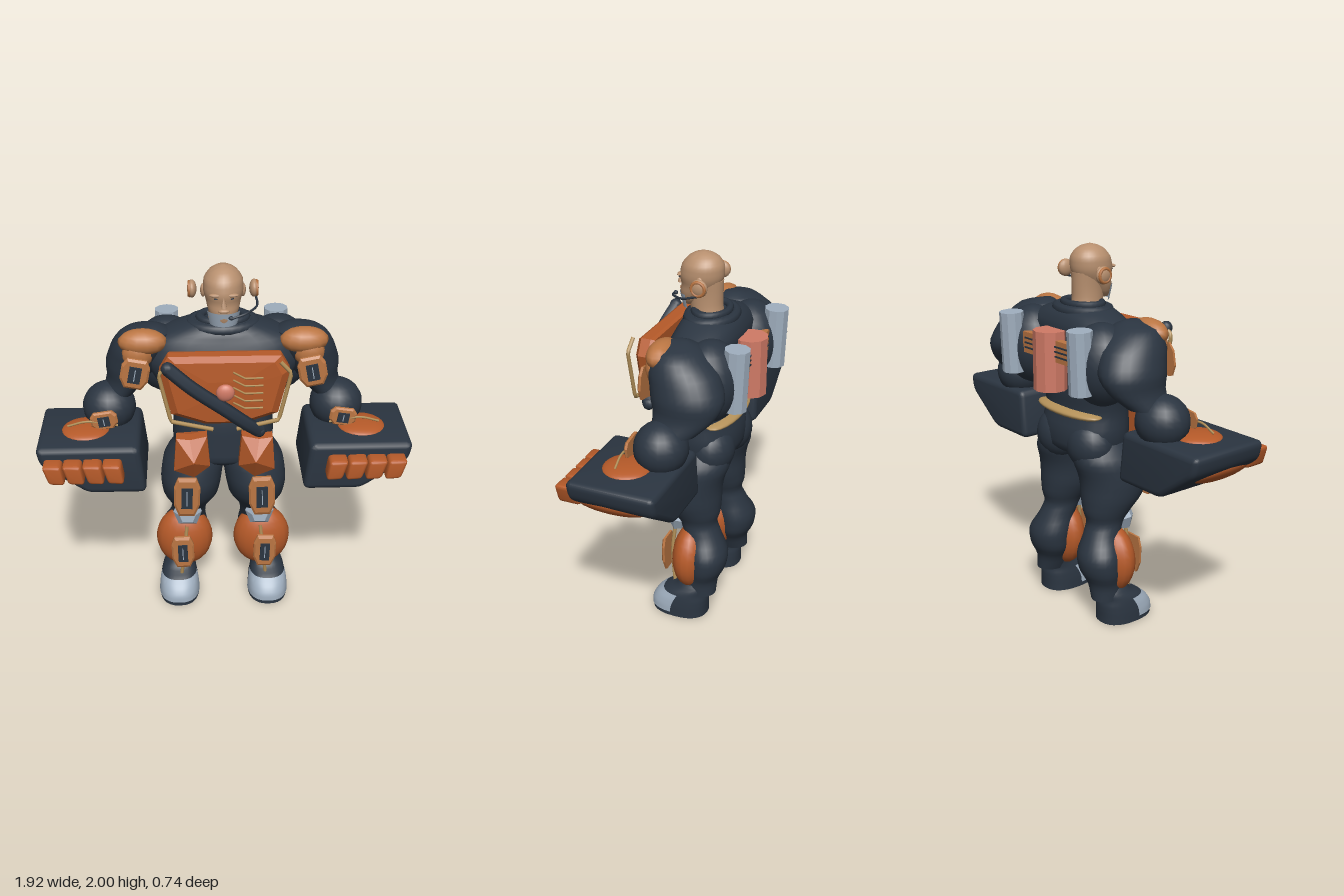
import * as THREE from 'three';
import { toCreasedNormals } from 'three/addons/utils/BufferGeometryUtils.js';

const paint = (name, color, extra = {}) => Object.assign(new THREE.MeshStandardMaterial({ color, ...extra }), { name });

export function createModel() {
  const suit = paint('navy suit', 0x2b3541);
  const orange = paint('orange armour', 0xb65a29);
  const copper = paint('copper trim', 0xbb7643);
  const skin = paint('skin', 0xb8906f);
  const grey = paint('light grey', 0xa0afbf, { side: THREE.DoubleSide });
  const salmon = paint('salmon', 0xd07a66);
  const tan = paint('tan cord', 0xb5925a);

  const model = new THREE.Group();
  const add = (name, geo, mat, x = 0, y = 0, z = 0) => {
    const m = new THREE.Mesh(geo, mat);
    m.name = name;
    m.position.set(x, y, z);
    model.add(m);
    return m;
  };
  const ball = (name, mat, x, y, z, rx, ry, rz, n = 20) =>
    add(name, new THREE.SphereGeometry(1, n, Math.ceil(n * 0.7)).scale(rx, ry, rz), mat, x, y, z);
  const cord = (name, mat, pts, r, smooth = true) => add(name, new THREE.TubeGeometry(
    new THREE.CatmullRomCurve3(pts.map(p => new THREE.Vector3(...p)), false, 'catmullrom', smooth ? 0.5 : 0.02), 24, r, 6), mat);
  const flip = (pts, s) => s > 0 ? pts : pts.map(([x, y]) => [-x, y]).reverse();
  const flat = geo => toCreasedNormals(geo, 0.35);

  // Smooth body form through horizontal sections [y, x, z, rx, rz], bottom to top; arc < 2*PI leaves an open shell
  function loft(secs, s = 1, pow = 2, arc = Math.PI * 2) {
    const centre = new THREE.CatmullRomCurve3(secs.map(q => new THREE.Vector3(q[1] * s, q[0], q[2])));
    const size = new THREE.CatmullRomCurve3(secs.map(q => new THREE.Vector3(q[3], 0, q[4])));
    const N = 28, rows = (secs.length - 1) * 3, closed = arc > 6.2, W = closed ? N : N + 1;
    const pos = [], idx = [];
    for (let j = 0; j <= rows; j++) {
      const c = centre.getPoint(j / rows), r = size.getPoint(j / rows);
      for (let i = 0; i < W; i++) {
        const a = (i / N - 0.5) * arc, sx = Math.sin(a), cz = Math.cos(a);
        pos.push(c.x + r.x * Math.sign(sx) * Math.abs(sx) ** (2 / pow), c.y,
          c.z + r.z * Math.sign(cz) * Math.abs(cz) ** (2 / pow));
      }
    }
    for (let j = 0; j < rows; j++) for (let i = 0; i < N; i++) {
      const a = j * W + i, b = j * W + (i + 1) % W;
      idx.push(a, b, b + W, a, b + W, a + W);
    }
    if (closed) for (const [j, up] of [[0, false], [rows, true]]) {
      const c = centre.getPoint(j / rows), k = pos.length / 3;
      pos.push(c.x, c.y, c.z);
      for (let i = 0; i < N; i++) {
        const a = j * W + i, b = j * W + (i + 1) % N;
        idx.push(...(up ? [a, b, k] : [b, a, k]));
      }
    }
    const g = new THREE.BufferGeometry();
    g.setAttribute('position', new THREE.Float32BufferAttribute(pos, 3));
    g.setIndex(idx);
    return toCreasedNormals(g, 0.9);
  }

  // Faceted armour: one outline repeated in layers [scale, z], back to front
  function facet(pts, layers) {
    const n = pts.length, pos = [], idx = [];
    for (const [k, z] of layers) for (const [x, y] of pts) pos.push(x * k, y * k, z);
    for (let j = 0; j < layers.length - 1; j++) for (let i = 0; i < n; i++) {
      const a = j * n + i, b = j * n + (i + 1) % n;
      idx.push(a, b, b + n, a, b + n, a + n);
    }
    const top = (layers.length - 1) * n;
    for (let i = 1; i < n - 1; i++) idx.push(0, i + 1, i, top, top + i, top + i + 1);
    const g = new THREE.BufferGeometry();
    g.setAttribute('position', new THREE.Float32BufferAttribute(pos, 3));
    g.setIndex(idx);
    const out = g.toNonIndexed();
    out.computeVertexNormals();
    return out;
  }

  // Slab from z0 to z1 with rounded corners and bevel b
  function slab(pts, z0, z1, b) {
    const v = pts.map(p => new THREE.Vector2(...p)), shape = new THREE.Shape();
    v.forEach((p, i) => {
      const toward = q => p.clone().add(q.clone().sub(p).setLength(b * 1.3));
      const from = toward(v[(i + v.length - 1) % v.length]), to = toward(v[(i + 1) % v.length]);
      if (i) shape.lineTo(from.x, from.y); else shape.moveTo(from.x, from.y);
      shape.quadraticCurveTo(p.x, p.y, to.x, to.y);
    });
    shape.closePath();
    const g = new THREE.ExtrudeGeometry(shape, { depth: z1 - z0 - 2 * b, bevelThickness: b, bevelSize: b, bevelOffset: -b, bevelSegments: 3, curveSegments: 4 });
    return toCreasedNormals(g.translate(0, 0, z0 + b), 0.6);
  }

  // Long hexagonal plate with a dark inset and a small light line
  function limbPlate(name, x, y, z, w, h, tilt = 0) {
    const hex = [[-w * .3, -h / 2], [w * .3, -h / 2], [w / 2, -h * .2], [w / 2, h * .25], [w * .35, h / 2], [-w * .35, h / 2], [-w / 2, h * .25], [-w / 2, -h * .2]];
    const plate = add(name, facet(hex, [[1, -.008], [1, .004], [.85, .013]]), copper, x, y, z);
    plate.rotation.z = tilt;
    const inset = new THREE.Mesh(new THREE.BoxGeometry(w * .43, h * .54, .009), suit);
    inset.name = name + 'Inset';
    inset.position.z = .016;
    const line = new THREE.Mesh(new THREE.BoxGeometry(.005, h * .38, .004), grey);
    line.name = name + 'Line';
    line.position.z = .0215;
    plate.add(inset, line);
  }

  // Torso and collar
  add('torso', loft([[.89, 0, -.03, .09, .1], [.95, 0, -.045, .25, .18], [1.05, 0, -.05, .27, .18], [1.15, 0, -.04, .265, .165],
    [1.25, 0, -.05, .28, .16], [1.38, 0, -.045, .35, .165], [1.5, 0, -.05, .4, .178], [1.6, 0, -.07, .38, .165],
    [1.66, 0, -.07, .26, .14], [1.7, 0, -.06, .15, .1]], 1, 2.3), suit);
  for (const [y, r, t] of [[1.675, .155, .035], [1.705, .115, .025]])
    add('collar', new THREE.TorusGeometry(r, t, 8, 28).rotateX(Math.PI / 2).scale(1, .8, .74), suit, 0, y, -.065);
  ball('beltPad', tan, 0, 1.15, -.155, .25, .03, .09, 24);

  // Head
  add('neck', loft([[1.64, 0, -.05, .085, .085], [1.72, 0, -.035, .075, .085], [1.78, 0, -.032, .074, .088], [1.86, 0, -.03, .08, .092]]), skin);
  add('head', loft([[1.725, 0, .05, .04, .04], [1.75, 0, .035, .062, .062], [1.79, 0, .02, .078, .082], [1.83, 0, -.003, .088, .1],
    [1.88, 0, -.01, .1, .114], [1.93, 0, -.016, .097, .108], [1.97, 0, -.02, .07, .08], [1.99, 0, -.02, .04, .046], [2, 0, -.02, .004, .004]]), skin);
  add('nose', new THREE.ConeGeometry(.018, .055, 6), skin, 0, 1.85, .106);
  ball('lips', skin, 0, 1.8, .096, .03, .01, .012, 10);
  add('chinGuard', new THREE.CylinderGeometry(.09, .074, .075, 14, 1, true, -1.15, 2.3), grey, 0, 1.75, .014);
  for (const s of [-1, 1]) {
    ball('brow', skin, s * .04, 1.882, .088, .034, .009, .016, 10);
    ball('eye', suit, s * .038, 1.865, .089, .011, .004, .012, 10);
    ball('ear', skin, s * .1, 1.86, -.035, .014, .035, .022, 10);
    ball('earpiece', skin, s * .155, 1.86, -.055, .024, .045, .045, 16);
    add('earpieceRing', new THREE.TorusGeometry(.034, .009, 6, 16).rotateY(Math.PI / 2), copper, s * .168, 1.86, -.055);
  }
  cord('microphoneArm', suit, [[.165, 1.82, -.05], [.165, 1.8, .03], [.11, 1.79, .1], [.04, 1.775, .125]], .006);
  ball('microphone', suit, .035, 1.775, .12, .014, .01, .012, 10);

  // Chest armour, cord frame, strap and button
  const chest = [[-.1, -.2], [.1, -.2], [.27, -.14], [.325, .1], [.28, .18], [-.28, .18], [-.325, .1], [-.27, -.14]];
  add('chestPlate', facet(chest, [[.97, .13], [1, .15], [1, .2], [.87, .23], [.3, .238]]), orange, 0, 1.43, 0);
  for (const s of [-1, 1])
    cord('chestCord', tan, [[s * .27, 1.6, .25], [s * .325, 1.54, .255], [s * .27, 1.275, .25], [s * .06, 1.222, .245]], .011, false);
  const strap = [[-.28, 1.575, .26], [-.16, 1.48, .29], [0, 1.36, .29], [.1, 1.27, .265], [.175, 1.195, .22]];
  cord('strap', suit, strap, .035);
  for (const p of [strap[0], strap[4]]) ball('strapEnd', suit, ...p, .034, .034, .034, 10);
  ball('chestButton', salmon, 0, 1.46, .3, .046, .046, .025, 16);
  for (let i = 0; i < 5; i++) {
    const y = 1.54 - i * .042;
    cord('chestVent', tan, [[.04, y, .238], [.1, y - .035, .238], [.19, y - .035, .235]], .005, false);
  }

  // Back tank and its straps
  add('centreTank', flat(new THREE.CylinderGeometry(.088, .088, .31, 10)), salmon, 0, 1.435, -.275);
  for (let i = 0; i < 3; i++) add('backStrap', new THREE.BoxGeometry(.36, .008, .012), suit, 0, 1.47 + i * .025, -.302);

  for (const s of [-1, 1]) {
    // Back
    ball('backMuscle', suit, s * .29, 1.45, -.17, .18, .21, .16);
    add('backPlate', new THREE.BoxGeometry(.12, .11, .04), copper, s * .14, 1.495, -.283);
    add('sideTank', flat(new THREE.CylinderGeometry(.064, .064, .32, 10)), grey, s * .29, 1.48, -.305).rotation.x = -.04;

    // Arms
    add('upperArm', loft([[1.28, .55, -.09, .085, .115], [1.36, .5, -.125, .11, .16], [1.45, .465, -.125, .145, .185],
      [1.55, .43, -.09, .145, .175], [1.64, .39, -.05, .12, .11], [1.67, .36, -.04, .03, .04]], s), suit);
    ball('forearm', suit, s * .6, 1.21, -.045, .14, .135, .135);
    ball('shoulderPad', copper, s * .408, 1.61, .025, .125, .068, .072, 14);
    ball('shoulderPadFront', copper, s * .435, 1.55, .045, .08, .08, .05, 12);
    limbPlate('armPlate', s * .45, 1.467, .1, .145, .165, s * .2);
    limbPlate('wristPlate', s * .62, 1.2, .1, .14, .1, -s * .15);
    cord('wristCord', tan, [[s * .55, 1.17, .1], [s * .7, 1.2, .11], [s * .81, 1.17, .1]], .006);

    // Gauntlets
    add('gauntlet', slab(flip([[.405, .87], [.71, .87], [.945, 1.04], [.965, 1.14], [.435, 1.14]], s), -.165, .29, .028), suit);
    for (let i = 0; i < 4; i++) {
      const x = .51 + i * .1;
      add('finger', slab(flip([[x + .003, .975], [x + .085, .98], [x + .115, 1.085], [x + .018, 1.085]], s), .25, .368, .016), orange);
    }
    ball('gauntletTopDome', orange, s * .72, 1.135, .08, .125, .032, .12, 24);
    ball('gauntletBaseDome', orange, s * .6, .875, .07, .09, .03, .1, 20);
    ball('gauntletSideDome', orange, s * .86, .992, .1, .085, .035, .175, 20).rotation.z = s * .626;

    // Legs
    add('leg', loft([[.14, .25, -.1, .075, .09], [.22, .235, -.11, .09, .085], [.3, .225, -.13, .125, .102], [.38, .22, -.135, .13, .107],
      [.48, .2, -.1, .1, .1], [.55, .19, -.07, .095, .1], [.62, .185, -.05, .12, .135], [.7, .18, -.015, .152, .175],
      [.8, .175, 0, .165, .195], [.9, .16, -.025, .165, .2], [1, .14, -.04, .12, .17]], s), suit);
    ball('buttock', suit, s * .13, .98, -.12, .14, .14, .12);
    ball('calfArmour', orange, s * .22, .345, -.045, .16, .19, .102, 20);
    const hip = [[-.085, -.06], [0, -.13], [.105, -.085], [.09, .11], [.02, .1], [-.07, .12]];
    add('hipPlate', facet(flip(hip, s), [[1, .12], [1, .18], [.03, .25]]), orange, s * .16, 1.02, 0);
    limbPlate('thighPlate', s * .2, .775, .195, .14, .24, s * .03);
    const knee = [[-.05, -.058], [.05, -.058], [.08, .02], [.06, .058], [-.06, .058], [-.08, .02]];
    add('kneePad', facet(knee, [[.8, -.04], [1, 0], [.55, .04]]), grey, s * .2, .555, .045).rotation.x = -.15;
    limbPlate('shinPlate', s * .23, .335, .1, .125, .21, -s * .03);
    cord('shinCord', tan, [[s * .205, .49, .065], [s * .22, .33, .075], [s * .24, .15, .055]], .011);

    // Boots
    add('boot', loft([[0, .255, .01, .112, .158], [.06, .255, .008, .11, .156], [.1, .255, -.004, .105, .143], [.135, .255, -.02, .098, .12],
      [.17, .25, -.055, .088, .088], [.2, .24, -.065, .08, .075]], s, 2.4), suit);
    add('toeCap', loft([[.025, .255, .011, .116, .162], [.06, .255, .009, .114, .16], [.1, .255, -.003, .109, .147], [.135, .255, -.019, .101, .123]],
      s, 2.4, Math.PI * .95), grey);
  }
  return model;
}
